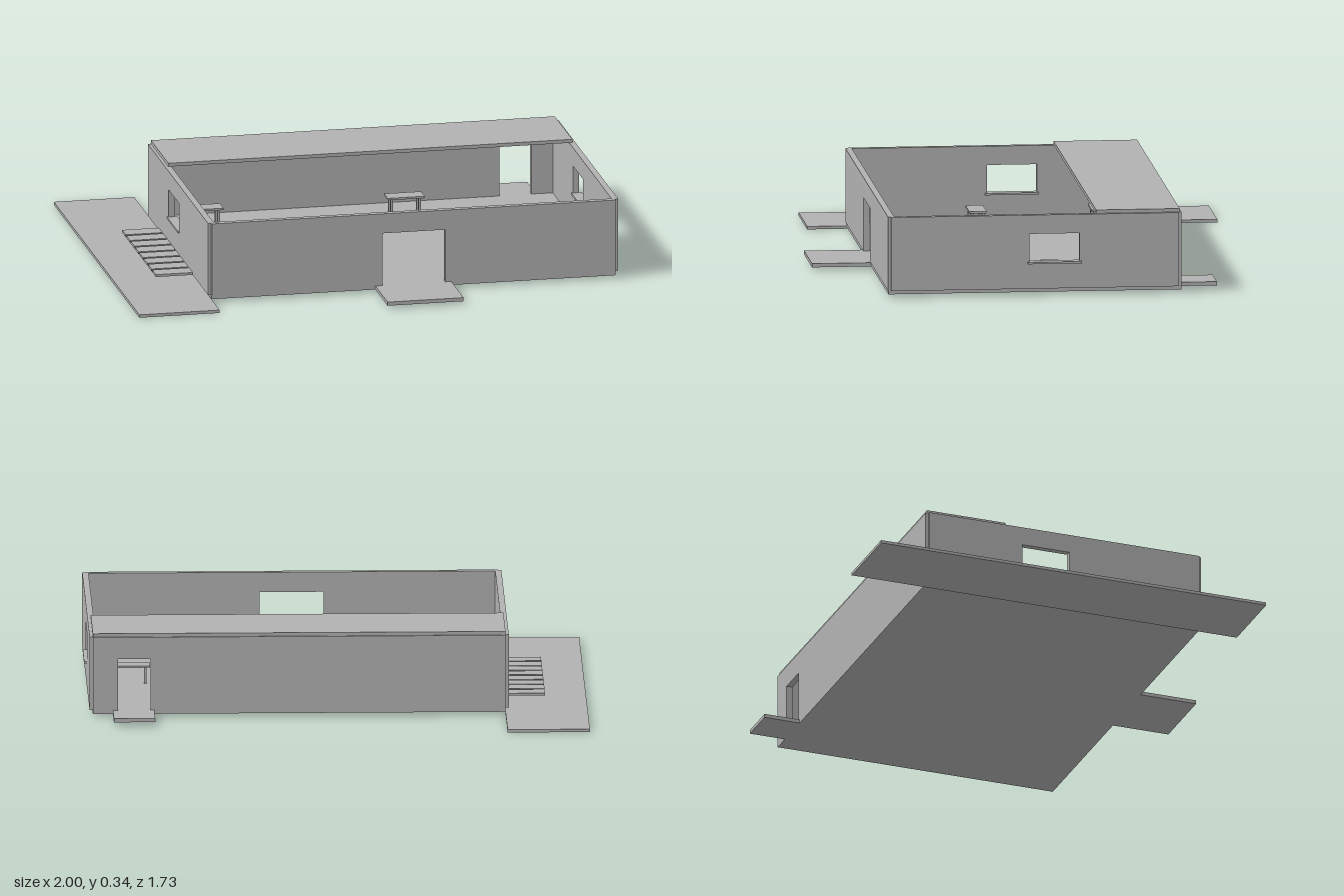
import * as THREE from 'three';

export function createModel() {
  const model = new THREE.Group();
  model.name = 'house';
  const grey = new THREE.MeshStandardMaterial({ color: 0xb2b2b2 });
  grey.name = 'plain grey';

  // Box given by its lower and upper limits on each axis
  function box(name, x0, x1, y0, y1, z0, z1, parent = model) {
    const mesh = new THREE.Mesh(new THREE.BoxGeometry(x1 - x0, y1 - y0, z1 - z0), grey);
    mesh.position.set((x0 + x1) / 2, (y0 + y1) / 2, (z0 + z1) / 2);
    mesh.name = name;
    parent.add(mesh);
    return mesh;
  }

  // Upright wall in the XY plane with one rectangular opening [u0, u1, v0, v1]
  const FLOOR = 0.028, TOP = 0.326, WALL = 0.025;
  function wall(name, u0, u1, [a0, a1, b0, b1]) {
    const shape = new THREE.Shape();
    const corners = [[u0, FLOOR], [u1, FLOOR], [u1, TOP], [u0, TOP]];
    const opening = [[a0, b0], [a0, b1], [a1, b1], [a1, b0]];
    if (b0 <= FLOOR) corners.splice(1, 0, ...opening); // doorway reaches the floor
    else shape.holes.push(new THREE.Path(opening.map((p) => new THREE.Vector2(...p))));
    shape.setFromPoints(corners.map((p) => new THREE.Vector2(...p)));
    const geometry = new THREE.ExtrudeGeometry(shape, { depth: WALL, bevelEnabled: false });
    const mesh = new THREE.Mesh(geometry, grey);
    mesh.name = name;
    model.add(mesh);
    return mesh;
  }

  // Ground: floor slab, porches and driveway
  box('floorSlab', -0.672, 0.975, 0.013, FLOOR, -0.55, 0.625);
  box('frontPorch', -0.005, 0.305, 0.013, FLOOR, 0.62, 0.862);
  box('backPorch', 0.73, 0.895, 0.013, FLOOR, -0.7, -0.545);
  box('driveway', -1, -0.672, 0, 0.012, -0.865, 0.78);

  // Walls with doorways at front and back
  wall('frontWall', -0.672, 0.975, [0.025, 0.28, FLOOR, 0.245]).position.z = 0.602;
  wall('backWall', -0.672, 0.975, [0.745, 0.875, FLOOR, 0.238]).position.z = -0.55;

  // Side walls with windows and sills; the wall plane is turned so u = -z
  for (const [side, x, sill0, sill1] of [['left', 0.963, 0.957, 1], ['right', -0.685, -0.692, -0.65]]) {
    const mesh = wall(side + 'Wall', -0.615, 0.538, [-0.06, 0.14, 0.135, 0.25]);
    mesh.rotation.y = Math.PI / 2;
    mesh.position.x = x;
    box(side + 'WindowSill', sill0, sill1, 0.129, 0.137, -0.148, 0.068);
  }

  // Flat roof over the back part
  box('roof', -0.672, 0.975, TOP, 0.34, -0.543, -0.208);

  // Row of paving slats beside the driveway
  for (let i = 0; i < 8; i++) {
    const z = -0.33 + i * 0.083;
    box('pavingSlat', -0.835, -0.672, 0.028, 0.038, z, z + 0.07);
  }

  // Tables on four legs
  for (const [x, z] of [[0.81, -0.045], [-0.505, 0.12], [0.325, -0.37], [-0.495, -0.37]]) {
    const table = new THREE.Group();
    table.name = 'table';
    table.position.set(x, 0, z);
    model.add(table);
    box('tableTop', -0.075, 0.075, 0.094, 0.102, -0.035, 0.035, table);
    for (const sx of [-1, 1]) for (const sz of [-1, 1]) {
      const lx = sx * 0.057, lz = sz * 0.022;
      box('tableLeg', lx - 0.005, lx + 0.005, FLOOR, 0.094, lz - 0.005, lz + 0.005, table);
    }
  }
  return model;
}
